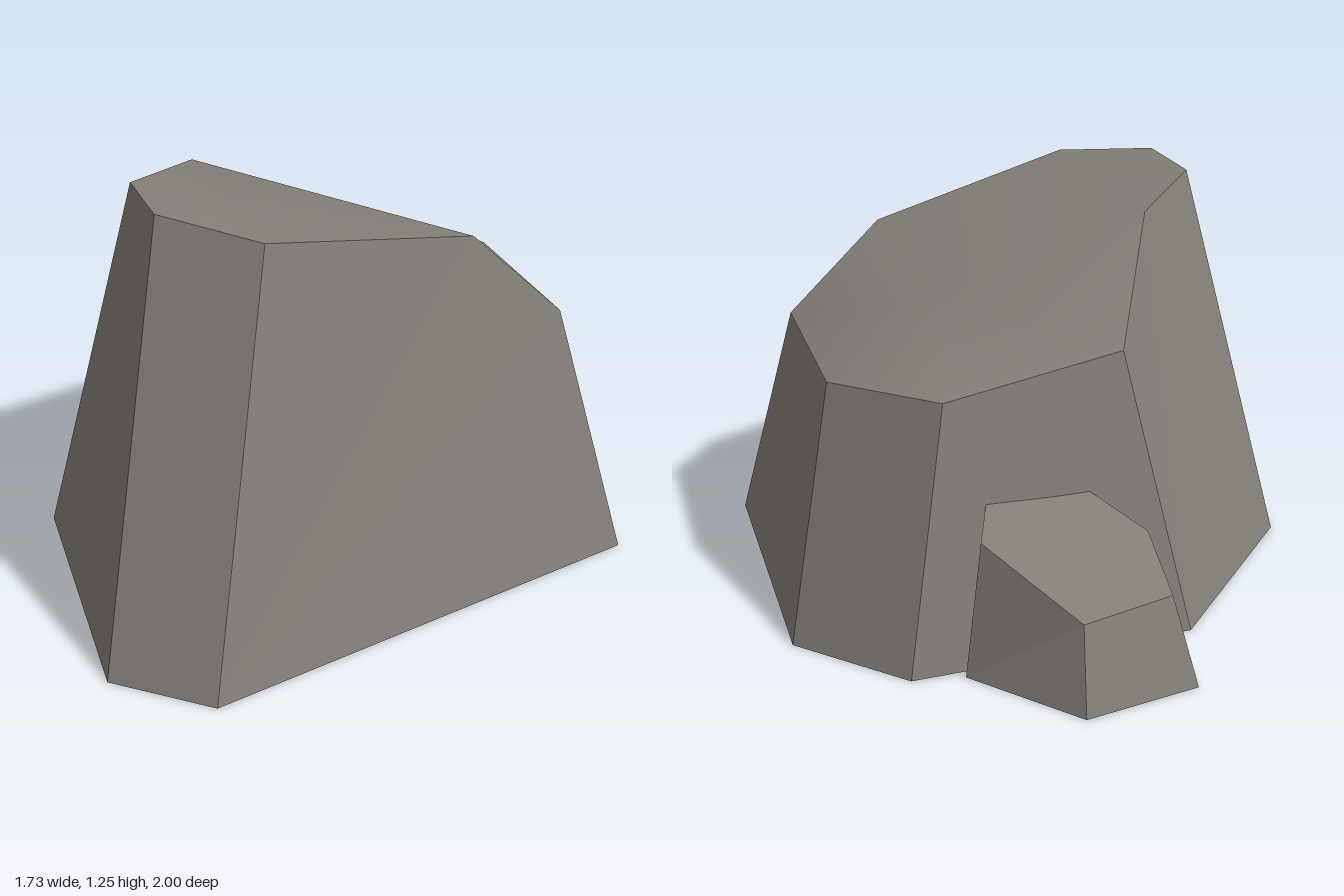
import * as THREE from 'three';

const stone = new THREE.MeshStandardMaterial({ color: 0x837e78 });
stone.name = 'grey stone';

// Convex polygons (counter-clockwise corners) fanned into flat triangles
function flatFaces(polygons) {
  const pos = [];
  for (const p of polygons)
    for (let i = 1; i < p.length - 1; i++) pos.push(...p[0], ...p[i], ...p[i + 1]);
  const g = new THREE.BufferGeometry();
  g.setAttribute('position', new THREE.Float32BufferAttribute(pos, 3));
  g.computeVertexNormals();
  return g;
}

// Shared-vertex triangles, so the normals come out smooth
function smoothFaces(points, index) {
  const g = new THREE.BufferGeometry();
  g.setAttribute('position', new THREE.Float32BufferAttribute(points.flat(), 3));
  g.setIndex(index);
  g.computeVertexNormals();
  return g;
}

// Chiselled walls between a ground outline and a rim, plus the underside.
// extra[i] is an additional rim corner halfway along wall i.
function walls(base, rim, extra = {}) {
  const ground = base.map(([x, z]) => [x, 0, z]);
  const faces = ground.map((b, i) => {
    const j = (i + 1) % ground.length;
    return [b, ground[j], rim[j], ...(extra[i] ? [extra[i]] : []), rim[i]];
  });
  faces.push([...ground].reverse());
  return flatFaces(faces);
}

function add(group, name, geometry) {
  const m = new THREE.Mesh(geometry, stone);
  m.name = name;
  group.add(m);
}

export function createModel() {
  const model = new THREE.Group();
  model.name = 'rock';

  // Large boulder
  const boulder = new THREE.Group();
  boulder.name = 'boulder';
  const base = [[-0.6, 1], [0.86, 0.59], [0.86, -0.36], [0.56, -0.66],
    [-0.34, -0.66], [-0.87, -0.14], [-0.87, 0.79]];
  const rim = [[-0.33, 1.21, 0.6], [0.68, 0.79, 0.41], [0.68, 0.79, -0.19], [0.4, 0.81, -0.49],
    [-0.16, 0.9, -0.48], [-0.6, 1.25, 0.11], [-0.59, 1.25, 0.39]];
  const frontKink = [0.37, 1.08, 0.42], backKink = [-0.35, 1.21, -0.15];
  add(boulder, 'boulderWalls', walls(base, rim, { 0: frontKink, 4: backKink }));

  // Worn top: a tilted plateau running softly into a shallow slope
  const hollow = [0.3, 0.97, -0.07];
  const top = [rim[0], frontKink, rim[1], rim[2], rim[3], rim[4], backKink, rim[5], rim[6], hollow];
  const index = [0, 1, 6, 0, 6, 7, 0, 7, 8];
  for (let i = 1; i < 6; i++) index.push(9, i, i + 1);
  index.push(9, 6, 1);
  add(boulder, 'boulderTop', smoothFaces(top, index));
  model.add(boulder);

  // Small stone leaning into the back of the boulder
  const small = new THREE.Group();
  small.name = 'smallStone';
  const smallBase = [[0.32, -0.48], [0.4, -0.69], [0.13, -1], [-0.24, -0.95], [-0.24, -0.74], [0.05, -0.48]];
  const smallRim = [[0.245, 0.57, -0.45], [0.34, 0.43, -0.66], [0.11, 0.26, -0.91],
    [-0.18, 0.28, -0.87], [-0.17, 0.4, -0.69], [0.09, 0.57, -0.45]];
  add(small, 'smallStoneWalls', walls(smallBase, smallRim));
  add(small, 'smallStoneTop', flatFaces([smallRim]));
  model.add(small);

  return model;
}
